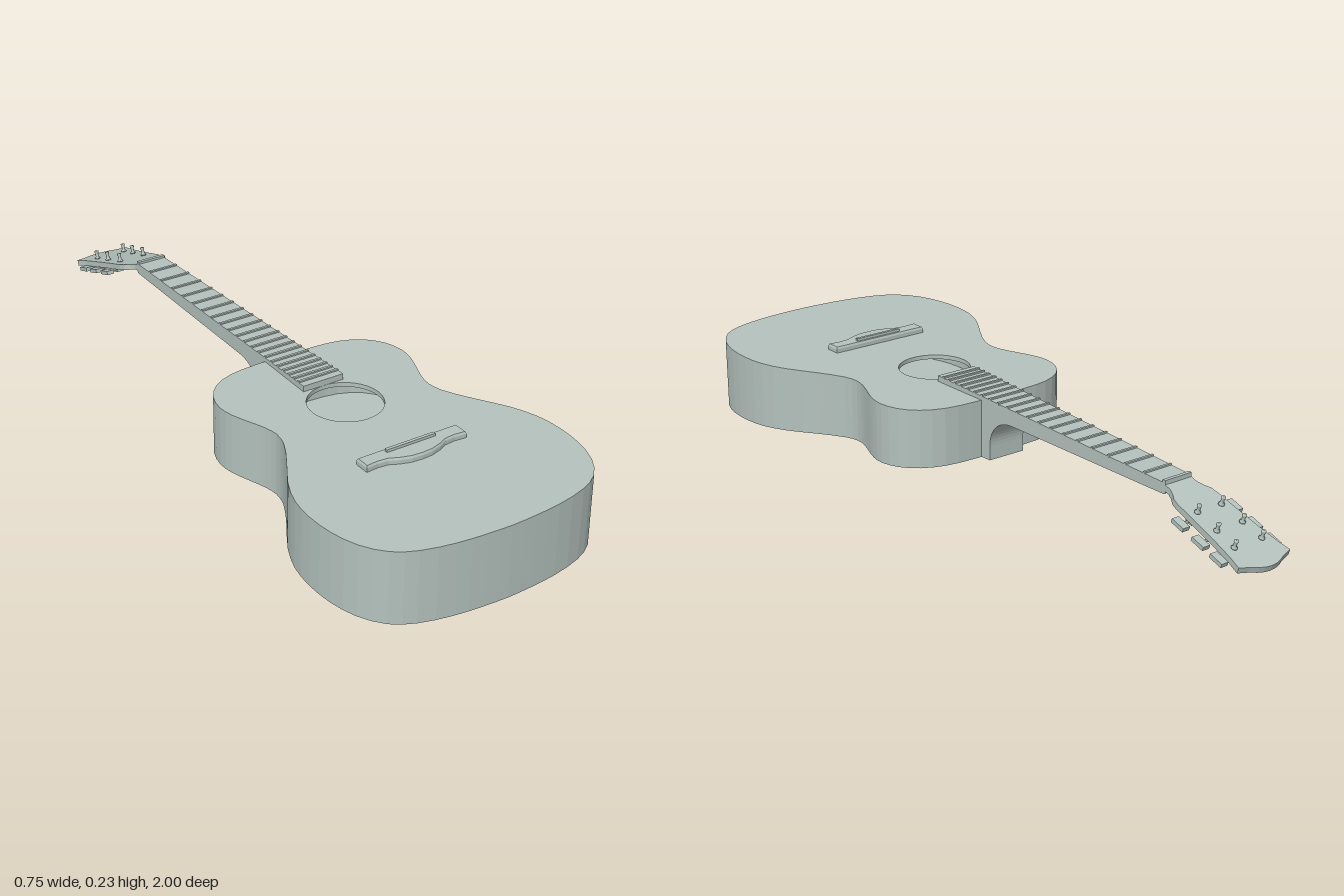
import * as THREE from 'three';

export function createModel() {
  const guitar = new THREE.Group();
  guitar.name = 'guitar';
  const clay = new THREE.MeshStandardMaterial({ color: 0xb4c2bd, side: THREE.DoubleSide });
  clay.name = 'greyGreen';

  const add = (name, geometry, parent = guitar, x = 0, y = 0, z = 0) => {
    const mesh = new THREE.Mesh(geometry, clay);
    mesh.name = name;
    mesh.position.set(x, y, z);
    parent.add(mesh);
    return mesh;
  };
  const v2 = ([x, z]) => new THREE.Vector2(x, -z);
  // Mirrors a half outline of [x, z] pairs that begins and ends on the centre line
  const mirrored = (half) => [...half, ...half.slice(1, -1).reverse().map(([x, z]) => [-x, z])];
  // Extrudes a plan outline upwards
  const slab = (points, depth, options = {}) =>
    new THREE.ExtrudeGeometry(new THREE.Shape(points.map(v2)), { depth, bevelEnabled: false, ...options })
      .rotateX(-Math.PI / 2);

  // Body: flat top with a sound hole, upright sides and a sloping back
  const TOP = 0.203;
  const backY = (z) => 0.0415 * (1 - z);
  const half = [
    [0, 0.035], [0.09, 0.036], [0.17, 0.045], [0.232, 0.075], [0.27, 0.122], [0.284, 0.178],
    [0.278, 0.225], [0.26, 0.275], [0.241, 0.325], [0.234, 0.365], [0.243, 0.41], [0.285, 0.488],
    [0.335, 0.57], [0.364, 0.645], [0.373, 0.72], [0.367, 0.8], [0.344, 0.875], [0.3, 0.935],
    [0.24, 0.968], [0.15, 0.989], [0.07, 0.997], [0, 1],
  ];
  const loop = new THREE.CatmullRomCurve3(
    mirrored(half).map(([x, z]) => new THREE.Vector3(x, 0, z)), true).getPoints(84);
  const outline = loop.slice(0, -1).map((p) => [p.x, p.z]);

  const topShape = new THREE.Shape(outline.map(v2));
  topShape.holes.push(new THREE.Path().absarc(0, -0.325, 0.1, 0, Math.PI * 2, true));
  add('bodyTop', new THREE.ShapeGeometry(topShape, 24).rotateX(-Math.PI / 2), guitar, 0, TOP, 0);
  add('soundHoleEdge', new THREE.CylinderGeometry(0.1, 0.1, 0.012, 48, 1, true), guitar, 0, TOP - 0.006, 0.325);

  const back = new THREE.ShapeGeometry(new THREE.Shape(outline.map(v2))).rotateX(-Math.PI / 2);
  const bp = back.attributes.position;
  for (let i = 0; i < bp.count; i++) bp.setY(i, backY(bp.getZ(i)));
  // Turn the back to face down
  const index = back.index.array;
  for (let i = 0; i < index.length; i += 3) [index[i], index[i + 1]] = [index[i + 1], index[i]];
  back.computeVertexNormals();
  add('bodyBack', back);

  const wall = [];
  outline.forEach(([x0, z0], i) => {
    const [x1, z1] = outline[(i + 1) % outline.length];
    const a = [x0, backY(z0), z0], b = [x1, backY(z1), z1], c = [x1, TOP, z1], d = [x0, TOP, z0];
    wall.push(...a, ...c, ...b, ...a, ...d, ...c);
  });
  const sides = new THREE.BufferGeometry();
  sides.setAttribute('position', new THREE.Float32BufferAttribute(wall, 3));
  sides.computeVertexNormals();
  add('bodySides', sides);

  // Neck, fingerboard and heel: side profile extruded across, tapering to the nut
  const NUT = -0.67;
  const boardY = (z) => 0.196 + (z - NUT) * 0.0262;
  const halfWidth = (z) => 0.043 + (z - NUT) * 0.0206;
  const profile = new THREE.Shape();
  profile.moveTo(0.225, 0.2);
  profile.lineTo(0.225, boardY(0.225));
  profile.lineTo(NUT, boardY(NUT));
  profile.lineTo(NUT - 0.012, 0.18);
  profile.lineTo(NUT, 0.166);
  profile.lineTo(-0.095, 0.166);
  profile.bezierCurveTo(-0.035, 0.166, 0, 0.13, 0, 0.08);
  profile.lineTo(0, 0.041);
  profile.lineTo(0.04, 0.04);
  profile.lineTo(0.04, 0.2);
  const neck = new THREE.ExtrudeGeometry(profile, { depth: 2, bevelEnabled: false, curveSegments: 14 })
    .translate(0, 0, -1).rotateY(-Math.PI / 2);
  const np = neck.attributes.position;
  for (let i = 0; i < np.count; i++) np.setX(i, np.getX(i) * halfWidth(np.getZ(i)));
  neck.computeVertexNormals();
  add('neck', neck);

  // Nut and frets, spaced by equal temperament
  add('nut', new THREE.BoxGeometry(0.086, 0.012, 0.01), guitar, 0, 0.197, NUT);
  for (let n = 1; n <= 20; n++) {
    const z = NUT + 1.27 * (1 - 2 ** (-n / 12));
    add('fret', new THREE.BoxGeometry(halfWidth(z) * 2, 0.008, 0.007), guitar, 0, boardY(z), z);
  }

  // Bridge with a curved belly, and saddle
  const bridge = mirrored([
    [0, 0.591], [0.147, 0.591], [0.147, 0.629], [0.115, 0.626], [0.085, 0.629],
    [0.06, 0.641], [0.03, 0.65], [0, 0.652],
  ]);
  add('bridge', slab(bridge, 0.014, {
    bevelEnabled: true, bevelThickness: 0.006, bevelSize: 0.003, bevelSegments: 1,
  }), guitar, 0, 0.2, 0);
  add('saddle', new THREE.BoxGeometry(0.146, 0.02, 0.009), guitar, 0, 0.2175, 0.602);

  // Headstock, tilted back from the nut
  const head = new THREE.Group();
  head.name = 'headstock';
  head.position.set(0, 0.193, NUT);
  head.rotation.x = -0.313;
  guitar.add(head);
  const stretch = 1 / Math.cos(0.313);
  const local = (z) => (z - NUT) * stretch;
  const plate = mirrored([
    [0, NUT], [0.043, NUT], [0.043, -0.692], [0.049, -0.708], [0.06, -0.725], [0.064, -0.745],
    [0.066, -0.8], [0.071, -0.88], [0.077, -0.94], [0.084, -0.975], [0.055, -0.984],
    [0.035, -0.993], [0.018, -0.998], [0, -1],
  ]).map(([x, z]) => [x, local(z)]);
  add('headPlate', slab(plate, 0.016), head, 0, -0.016, 0);

  // Tuners: post above the plate, shaft and key below its edge
  const postProfile = [[0, 0], [0.008, 0], [0.008, 0.004], [0.0045, 0.006], [0.0045, 0.016],
    [0.006, 0.02], [0.006, 0.024], [0, 0.024]].map(([r, y]) => new THREE.Vector2(r, y));
  for (const side of [-1, 1]) {
    [[-0.785, 0.039], [-0.855, 0.042], [-0.918, 0.045]].forEach(([z, x]) => {
      const zl = local(z);
      add('tunerPost', new THREE.LatheGeometry(postProfile, 12), head, side * x, 0, zl);
      add('tunerHousing', new THREE.BoxGeometry(0.024, 0.012, 0.022), head, side * 0.048, -0.02, zl);
      add('tunerShaft', new THREE.CylinderGeometry(0.0035, 0.0035, 0.04, 8).rotateZ(Math.PI / 2),
        head, side * 0.07, -0.02, zl);
      add('tunerKey', new THREE.BoxGeometry(0.022, 0.011, 0.042), head, side * 0.087, -0.02, zl);
    });
  }
  return guitar;
}
